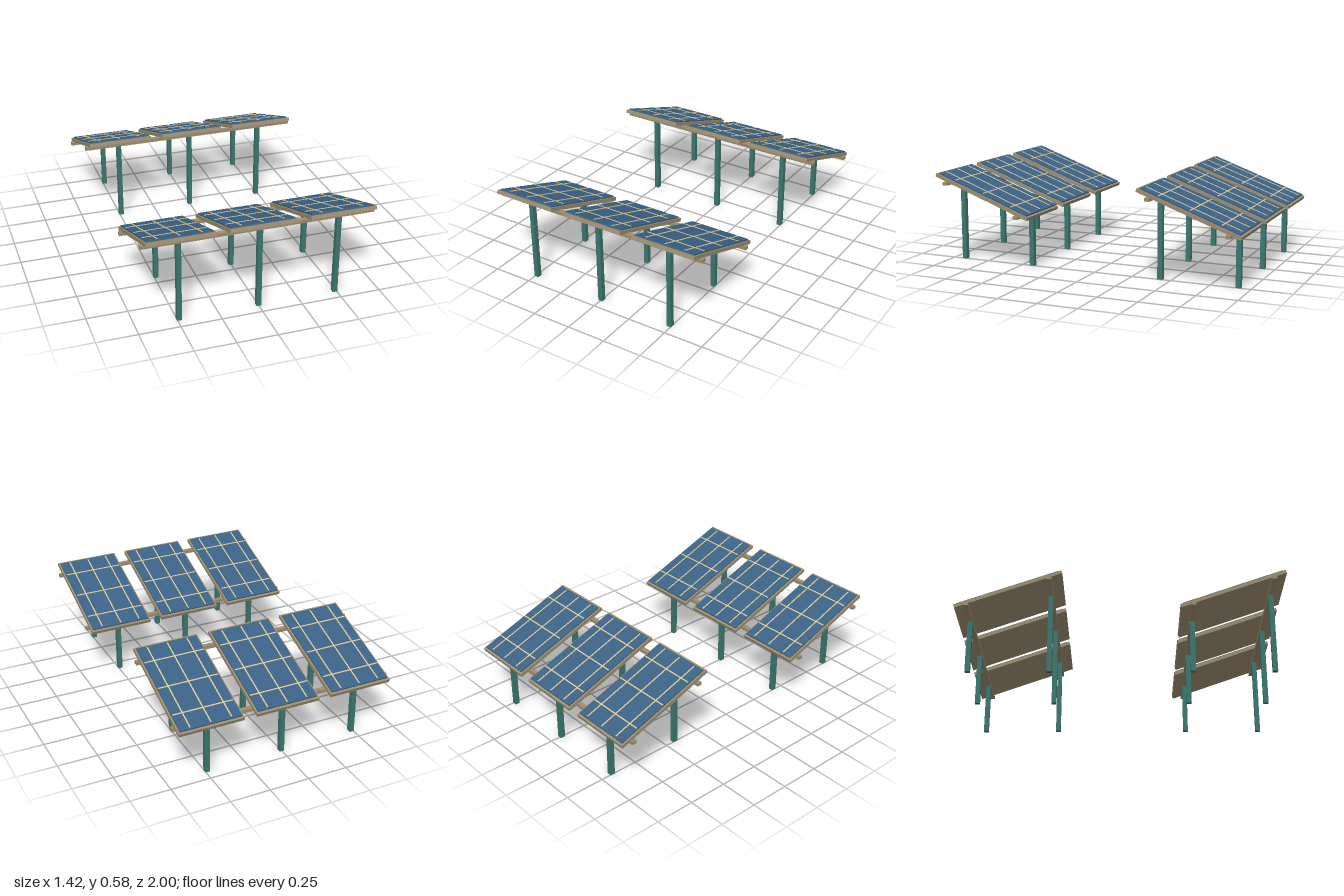
import * as THREE from 'three';

const TILT = THREE.MathUtils.degToRad(20);

export function createModel() {
  const mat = (name, color) => Object.assign(new THREE.MeshStandardMaterial({ color }), { name });
  const frameMat = mat('tan metal', 0x9c8d6e);
  const cellMat = mat('solar blue', 0x3a6285);
  const lineMat = mat('pale cream', 0xd6c596);
  const postMat = mat('teal steel', 0x3c766e);

  const box = (parent, name, material, size, pos) => {
    const mesh = new THREE.Mesh(new THREE.BoxGeometry(...size), material);
    mesh.name = name;
    mesh.position.set(...pos);
    parent.add(mesh);
    return mesh;
  };

  // One framed panel, lying flat around its slab centre
  const makePanel = () => {
    const panel = new THREE.Group();
    panel.name = 'solarPanel';
    box(panel, 'panelFrame', frameMat, [0.41, 0.022, 0.68], [0, 0, 0]);
    box(panel, 'panelCells', cellMat, [0.388, 0.009, 0.65], [0, 0.0145, 0]);
    for (const i of [-1, 0, 1]) {
      box(panel, 'lengthwiseGridLine', lineMat, [0.008, 0.004, 0.63], [i * 0.129, 0.02, 0]);
      box(panel, 'crosswiseGridLine', lineMat, [0.38, 0.004, 0.008], [0, 0.02, i * 0.205]);
    }
    return panel;
  };

  // One row: three tilted panels on two rails and six posts
  const makeRow = () => {
    const row = new THREE.Group();
    row.name = 'panelRow';
    for (const x of [-0.489, 0, 0.489]) {
      const panel = makePanel();
      panel.position.set(x, 0.454, 0);
      panel.rotation.x = -TILT;
      row.add(panel);
    }
    for (const [z, y] of [[0.245, 0.521], [-0.245, 0.344]]) {
      box(row, 'supportRail', frameMat, [1.424, 0.021, 0.03], [0, y, z]);
      const h = y - 0.0105;
      for (const x of [-0.489, 0, 0.489]) {
        box(row, 'supportPost', postMat, [0.029, h, 0.031], [x, h / 2, z]);
      }
    }
    return row;
  };

  const model = new THREE.Group();
  model.name = 'solarArray';
  for (const z of [0.677, -0.677]) {
    const row = makeRow();
    row.position.z = z;
    model.add(row);
  }
  return model;
}
